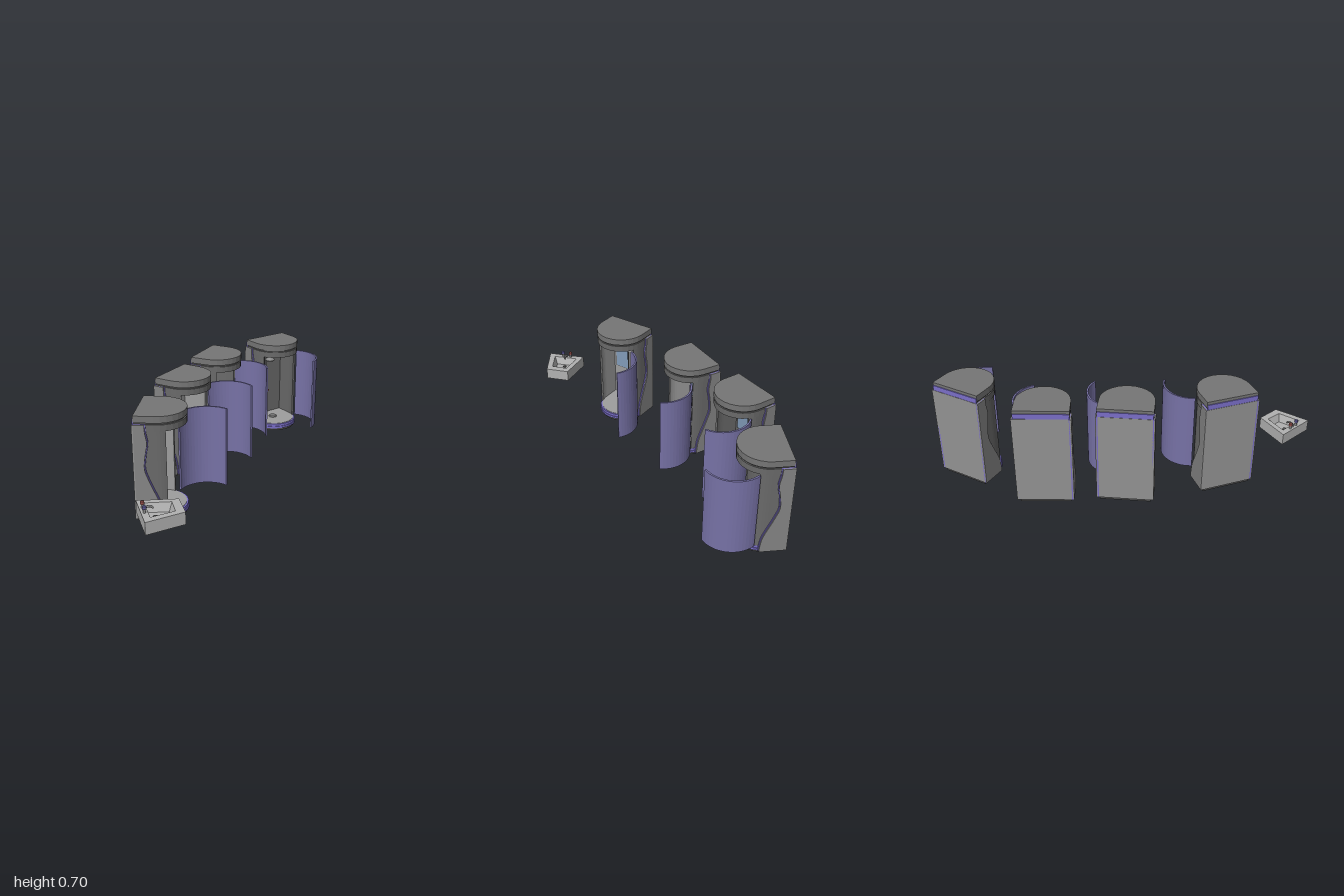
import * as THREE from 'three';

const mat = (color) => new THREE.MeshStandardMaterial({ color, side: THREE.DoubleSide });
// Greys from dark to light
const dark = mat(0x4c4c4c), shell = mat(0x6a6a6a), roofGrey = mat(0x767676);
const panelGrey = mat(0x858585), backGrey = mat(0x929292), pale = mat(0x9e9e9e), basinGrey = mat(0xb2b2b2);
const purple = mat(0x7a6ec8), doorPurple = mat(0x7772a6), glass = mat(0x829cba);
const red = mat(0x8c4a46), blue = mat(0x5a5690);

function add(parent, name, geo, material, x = 0, y = 0, z = 0) {
  const m = new THREE.Mesh(geo, material);
  m.name = name;
  m.position.set(x, y, z);
  parent.add(m);
  return m;
}

const box = (w, h, d) => new THREE.BoxGeometry(w, h, d);
const cyl = (a, b, h, n = 14) => new THREE.CylinderGeometry(a, b, h, n);
const toShape = (pts) => new THREE.Shape(pts.map(([x, z]) => new THREE.Vector2(x, z)));

// Upright prism from a plan outline given in (x, z)
function prism(shape, y0, y1) {
  const g = new THREE.ExtrudeGeometry(shape, { depth: y1 - y0, bevelEnabled: false });
  return g.rotateX(Math.PI / 2).translate(0, y1, 0);
}

function arc(cx, cz, r, a0, a1, n) {
  const pts = [];
  for (let i = 0; i <= n; i++) {
    const a = a0 + (a1 - a0) * i / n;
    pts.push([cx + r * Math.cos(a), cz + r * Math.sin(a)]);
  }
  return pts;
}

// Plan with a straight back and a half-round front
const CZ = 0.132;
const dPlan = (r, back) => toShape([...arc(0, CZ, r, 0, Math.PI, 14), [-r, back], [r, back]]);

// Plan of a wall layer, open at the front
function wallPlan(rOut, backOut, rIn, backIn) {
  const a = 0.42, run = (r, back) => [
    ...arc(0, CZ, r, Math.PI - a, Math.PI, 4), [-r, back], [r, back], ...arc(0, CZ, r, 0, a, 4)];
  return toShape([...run(rOut, backOut), ...run(rIn, backIn).reverse()]);
}

// Side panel with a wavy front edge, pushed forward by grow
function sidePanel(grow, thick) {
  const edge = [[0.172, 0.02], [0.17, 0.06], [0.155, 0.14], [0.1, 0.27], [0.07, 0.36],
    [0.077, 0.45], [0.09, 0.53], [0.08, 0.6], [0.078, 0.65]];
  const s = new THREE.Shape();
  s.moveTo(0, 0.02);
  s.lineTo(edge[0][0] + grow, 0.02);
  s.splineThru(edge.slice(1).map(([z, y]) => new THREE.Vector2(z + grow, y)));
  s.lineTo(0, 0.65);
  const g = new THREE.ExtrudeGeometry(s, { depth: thick, bevelEnabled: false, curveSegments: 24 });
  return g.rotateY(-Math.PI / 2).translate(thick / 2, 0, 0);
}

// Square funnel bowl on a tapered foot
function toilet() {
  const g = new THREE.Group();
  g.name = 'toilet';
  const profile = [[0.03, 0], [0.026, 0.04], [0.058, 0.075], [0.058, 0.095], [0.044, 0.095], [0.02, 0.06], [0, 0.058]];
  const lathe = new THREE.LatheGeometry(profile.map(([x, y]) => new THREE.Vector2(x, y)), 4);
  const bowl = lathe.rotateY(Math.PI / 4).toNonIndexed();
  bowl.computeVertexNormals();
  add(g, 'toiletBowl', bowl, pale, 0, 0.055, 0.082).scale.z = 1.2;
  add(g, 'toiletBack', box(0.08, 0.065, 0.022), pale, 0, 0.145, 0.03);
  return g;
}

// Flat tap knob on a short stem
function tap(parent, color, x, y, z) {
  add(parent, 'tapStem', cyl(0.006, 0.01, 0.03, 8), panelGrey, x, y + 0.015, z);
  add(parent, 'tapKnob', cyl(0.012, 0.014, 0.016, 8), color, x, y + 0.038, z);
}

function shower() {
  const g = new THREE.Group();
  g.name = 'shower';
  add(g, 'showerPipe', cyl(0.007, 0.007, 0.53, 8), roofGrey, 0, 0.32, 0.026);
  add(g, 'showerArm', cyl(0.006, 0.006, 0.06, 8), roofGrey, 0, 0.575, 0.05).rotation.x = Math.PI / 2;
  add(g, 'showerNeck', cyl(0.008, 0.012, 0.03, 8), roofGrey, 0, 0.562, 0.08);
  add(g, 'showerHead', cyl(0.014, 0.04, 0.022), panelGrey, 0, 0.538, 0.08);
  add(g, 'showerRim', cyl(0.04, 0.036, 0.008), panelGrey, 0, 0.524, 0.08);
  for (const s of [-1, 1]) {
    add(g, 'showerTap', cyl(0.009, 0.009, 0.02, 8), s < 0 ? blue : red, s * 0.016, 0.255, 0.036).rotation.x = Math.PI / 2;
  }
  add(g, 'floorDrain', cyl(0.03, 0.034, 0.01), roofGrey, 0, 0.061, 0.13);
  return g;
}

function cabin(hasShower) {
  const g = new THREE.Group();
  g.name = 'cabin';
  // Base, floor and purple sill
  add(g, 'plinth', prism(dPlan(0.168, 0.01), 0, 0.02), dark);
  add(g, 'sill', prism(dPlan(0.18, 0.012), 0.02, 0.036), purple);
  add(g, 'sillStep', prism(dPlan(0.175, 0.012), 0.036, 0.054), purple);
  add(g, 'floor', prism(dPlan(0.164, 0.012), 0.05, 0.057), pale);
  // Outer wall and inner lining
  add(g, 'wall', prism(wallPlan(0.173, 0.004, 0.163, 0.014), 0.022, 0.61), shell);
  add(g, 'lining', prism(wallPlan(0.163, 0.014, 0.16, 0.017), 0.055, 0.608), hasShower ? shell : pale);
  add(g, 'backPanel', box(0.378, 0.63, 0.01), backGrey, 0, 0.335, 0.005);
  add(g, 'backStrip', box(0.354, 0.036, 0.008), purple, 0, 0.667, 0.006);
  for (const s of [-1, 1]) {
    add(g, 'sidePanelTrim', sidePanel(0.006, 0.008), purple, s * 0.177, 0, 0);
    add(g, 'sidePanel', sidePanel(0, 0.009), panelGrey, s * 0.1845, 0, 0);
  }
  // Header and roof
  add(g, 'header', prism(dPlan(0.178, 0.008), 0.608, 0.65), shell);
  add(g, 'roofNeck', prism(dPlan(0.169, 0.01), 0.65, 0.664), dark);
  add(g, 'roofCap', prism(dPlan(0.18, 0.008), 0.662, 0.705), roofGrey);
  // Fittings
  add(g, 'mirrorFrame', box(0.116, 0.18, 0.006), dark, -0.083, 0.385, 0.02);
  add(g, 'mirror', box(0.106, 0.17, 0.004), glass, -0.083, 0.385, 0.023);
  g.add(hasShower ? shower() : toilet());
  return g;
}

// Curved door hung at one end, swung towards the other end
function door([x0, z0], [x1, z1]) {
  const R = 0.2, t = 0.012, half = 0.94, mid = Math.PI * 1.5;
  const cx = (R - t / 2) * Math.sin(half), cz = (R - t / 2) * Math.cos(half);
  const plan = toShape([...arc(cx, cz, R, mid - half, mid + half, 16),
    ...arc(cx, cz, R - t, mid + half, mid - half, 16)]);
  const g = new THREE.Group();
  g.name = 'door';
  add(g, 'doorPanel', prism(plan, 0.06, 0.605), doorPurple);
  g.position.set(x0, 0, z0);
  g.rotation.y = Math.atan2(z0 - z1, x1 - x0);
  return g;
}

function washbasin() {
  const g = new THREE.Group();
  g.name = 'washbasin';
  const outer = [[-1, 0.845], [-0.945, 0.575], [-0.715, 0.675], [-0.75, 0.84]];
  const rim = [[-0.95, 0.802], [-0.915, 0.628], [-0.767, 0.69], [-0.795, 0.802]];
  const low = rim.map(([x, z]) => [-0.857 + (x + 0.857) * 0.75, 0.73 + (z - 0.73) * 0.75]);
  const plan = toShape(outer);
  plan.holes.push(new THREE.Path(rim.map(([x, z]) => new THREE.Vector2(x, z))));
  add(g, 'basinBody', prism(plan, 0.205, 0.285), basinGrey);
  add(g, 'basinBottom', prism(toShape(low), 0.222, 0.23), basinGrey);
  // Sloping sides of the bowl
  const pos = [];
  for (let i = 0; i < 4; i++) {
    const j = (i + 1) % 4;
    const a = [rim[i][0], 0.285, rim[i][1]], b = [rim[j][0], 0.285, rim[j][1]];
    const c = [low[j][0], 0.23, low[j][1]], d = [low[i][0], 0.23, low[i][1]];
    pos.push(...a, ...c, ...b, ...a, ...d, ...c);
  }
  const sides = new THREE.BufferGeometry();
  sides.setAttribute('position', new THREE.Float32BufferAttribute(pos, 3));
  sides.computeVertexNormals();
  add(g, 'basinSides', sides, basinGrey);
  // Taps and spout
  tap(g, red, -0.945, 0.28, 0.677);
  tap(g, blue, -0.957, 0.28, 0.737);
  const spout = new THREE.CatmullRomCurve3([[-0.951, 0.28, 0.707], [-0.943, 0.301, 0.709],
    [-0.91, 0.304, 0.716], [-0.897, 0.292, 0.719]].map((p) => new THREE.Vector3(...p)));
  add(g, 'spout', new THREE.TubeGeometry(spout, 12, 0.007, 8), panelGrey);
  add(g, 'basinDrain', cyl(0.014, 0.014, 0.006), dark, -0.885, 0.233, 0.72);
  return g;
}

export function createModel() {
  const model = new THREE.Group();
  model.name = 'washCabins';
  // Middle of the back, facing direction, door hinge and door tip, all in (x, z)
  const layout = [
    { at: [-0.755, 0.17], face: [0.836, 0.549], hinge: [-0.475, 0.165], tip: [-0.17, 0.25] },
    { at: [-0.297, -0.367], face: [0.52, 0.853], hinge: [-0.05, -0.26], tip: [0.2, -0.05] },
    { at: [0.113, -0.69], face: [0.59, 0.806], hinge: [0.367, -0.635], tip: [0.49, -0.335] },
    { at: [0.74, -0.825], face: [0.134, 0.991], hinge: [0.935, -0.645], tip: [0.89, -0.34] },
  ];
  layout.forEach(({ at, face, hinge, tip }, i) => {
    const c = cabin(i > 1);
    c.position.set(at[0], 0, at[1]);
    c.rotation.y = Math.atan2(face[0], face[1]);
    model.add(c, door(hinge, tip));
  });
  model.add(washbasin());
  return model;
}
